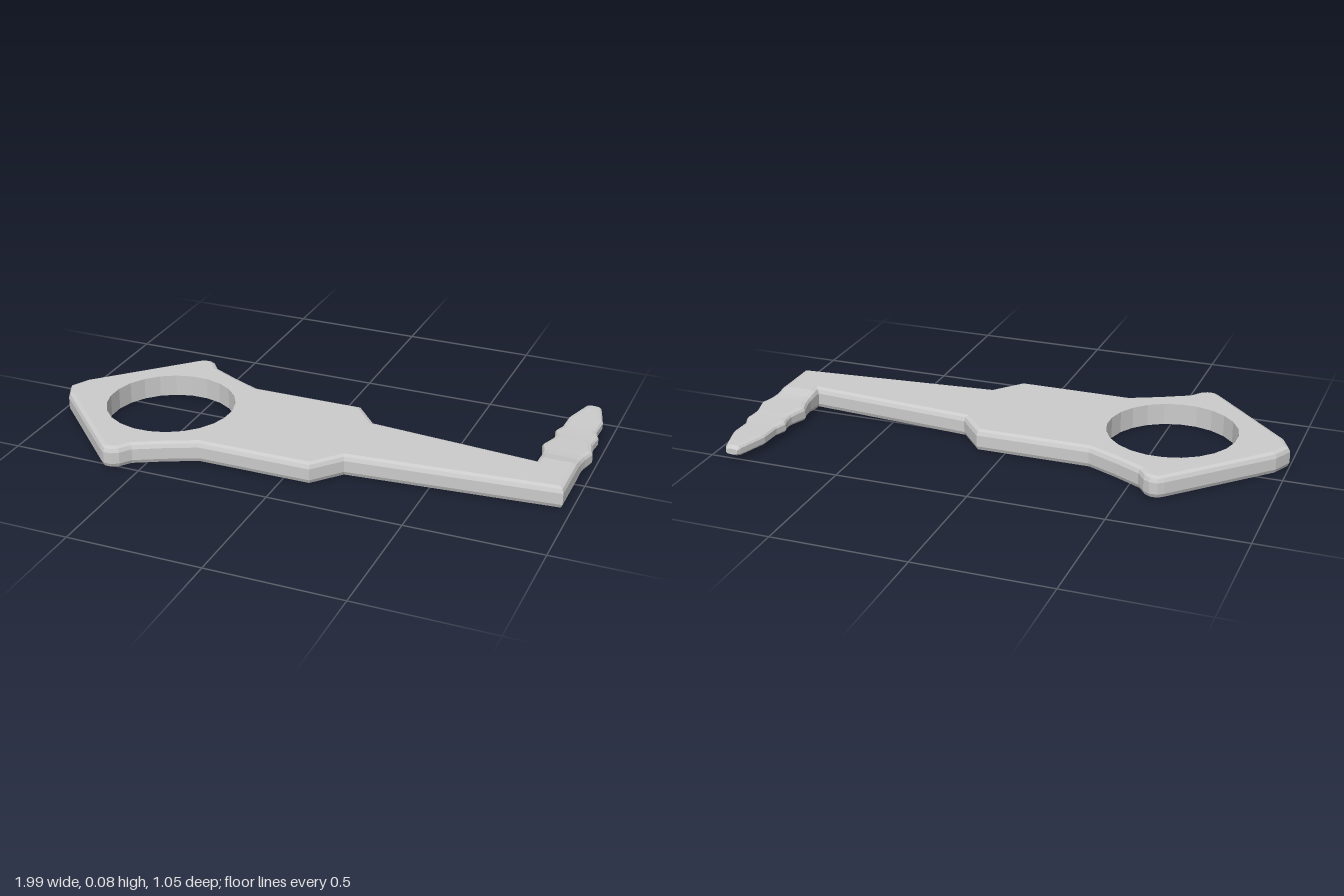
import * as THREE from 'three';

const MID = 0.0415;       // half thickness of the plate
const AXIS = 0.1125;      // z of the handle's centre line
// Rounded edge, bottom to top: [height as a fraction of half thickness, inset]
const EDGE = [[-1, 0.02], [-0.86, 0.006], [-0.52, 0], [0.52, 0], [0.86, 0.006], [1, 0.02]];

const material = new THREE.MeshStandardMaterial({ color: 0xcccccc, flatShading: true });

function mesh(name, geometry) {
  const m = new THREE.Mesh(geometry, material);
  m.name = name;
  return m;
}

// Skin a series of loops of [x, y, z] points
function loft(loops, closed = true) {
  const n = loops[0].length;
  const index = [];
  for (let j = 0; j < loops.length - 1; j++) {
    for (let i = 0; i < (closed ? n : n - 1); i++) {
      const k = (i + 1) % n;
      const a = j * n + i, b = j * n + k, c = b + n, d = a + n;
      index.push(a, d, c, a, c, b);
    }
  }
  const g = new THREE.BufferGeometry();
  g.setAttribute('position', new THREE.Float32BufferAttribute(loops.flat(2), 3));
  g.setIndex(index);
  g.computeVertexNormals();
  return g;
}

// Move every edge of the outline inwards, except the closing edge at the blade root
function inset(points, amount) {
  const n = points.length;
  const line = (i) => {
    const [x, z] = points[i], [x2, z2] = points[(i + 1) % n];
    const l = Math.hypot(x2 - x, z2 - z);
    const nx = -(z2 - z) / l, nz = (x2 - x) / l;
    return [nx, nz, nx * x + nz * z + (i === n - 1 ? 0 : amount)];
  };
  return points.map((_, i) => {
    const [a, b, c] = line((i + n - 1) % n), [d, e, f] = line(i);
    const det = a * e - b * d;
    return [(c * e - b * f) / det, (a * f - c * d) / det];
  });
}

// Flat face with the ring hole, facing up (side 1) or down (side -1)
function face(outline, hole, side) {
  const toVec = ([x, z]) => new THREE.Vector2(x, -side * z);
  const shape = new THREE.Shape(outline.map(toVec));
  shape.holes.push(new THREE.Path(hole.map(toVec)));
  return new THREE.ShapeGeometry(shape).rotateX(-side * Math.PI / 2)
    .translate(0, MID + side * MID, 0);
}

function createBody() {
  const group = new THREE.Group();
  group.name = 'handle';

  // Back half of the handle, from the pointed end to the neck
  const half = [
    [-0.965, 0.04], [-0.645, -0.285], [-0.625, -0.3], [-0.595, -0.3], [-0.57, -0.285],
    [-0.54, -0.245], [-0.435, -0.19], [-0.325, -0.14], [0.105, -0.14], [0.195, -0.035],
  ];
  const mirrored = half.map(([x, z]) => [x, 2 * AXIS - z]).reverse();
  const outline = [
    [0.97, 0], [0.97, 0.195], ...mirrored, [-1, AXIS], ...half, [0.825, 0.02], [0.825, 0],
  ];

  // Ring hole
  const hole = [];
  for (let i = 0; i < 24; i++) {
    const a = -(i + 0.5) * Math.PI / 12;
    hole.push([-0.565 + 0.242 * Math.cos(a), AXIS + 0.242 * Math.sin(a)]);
  }

  const at = (pts, y) => pts.map(([x, z]) => [x, y, z]);
  const rim = EDGE.map(([h, d]) => at(inset(outline, d), MID * (1 + h)));
  const flat = inset(outline, EDGE[0][1]);
  group.add(
    mesh('handleRim', loft(rim, false)),
    mesh('handleTop', face(flat, hole, 1)),
    mesh('handleBottom', face(flat, hole, -1)),
    mesh('ringHoleWall', loft([at(hole, 0), at(hole, 2 * MID)])),
  );
  return group;
}

function createBlade() {
  // Sections: z, left edge, right edge, half thickness
  const sections = [
    [0, 0.825, 0.97, MID], [-0.05, 0.825, 0.97, 0.033], [-0.085, 0.82, 0.975, 0.03],
    [-0.135, 0.805, 0.99, 0.028], [-0.205, 0.827, 0.972, 0.025], [-0.235, 0.827, 0.974, 0.023],
    [-0.27, 0.817, 0.978, 0.022], [-0.315, 0.832, 0.96, 0.021], [-0.4, 0.835, 0.963, 0.021],
    [-0.475, 0.858, 0.942, 0.021], [-0.515, 0.87, 0.93, 0.02], [-0.53, 0.877, 0.923, 0.011],
  ];
  const loops = sections.map(([z, x0, x1, h]) => [
    ...EDGE.map(([y, d]) => [x1 - d, MID + y * h, z]),
    ...EDGE.map(([y, d]) => [x0 + d, MID + y * h, z]).reverse(),
  ]);
  // Close the tip
  loops.push(loops[0].map(() => [0.9, MID, -0.53]));
  return mesh('blade', loft(loops));
}

export function createModel() {
  const model = new THREE.Group();
  model.name = 'ringHandledTool';
  model.add(createBody(), createBlade());
  return model;
}
